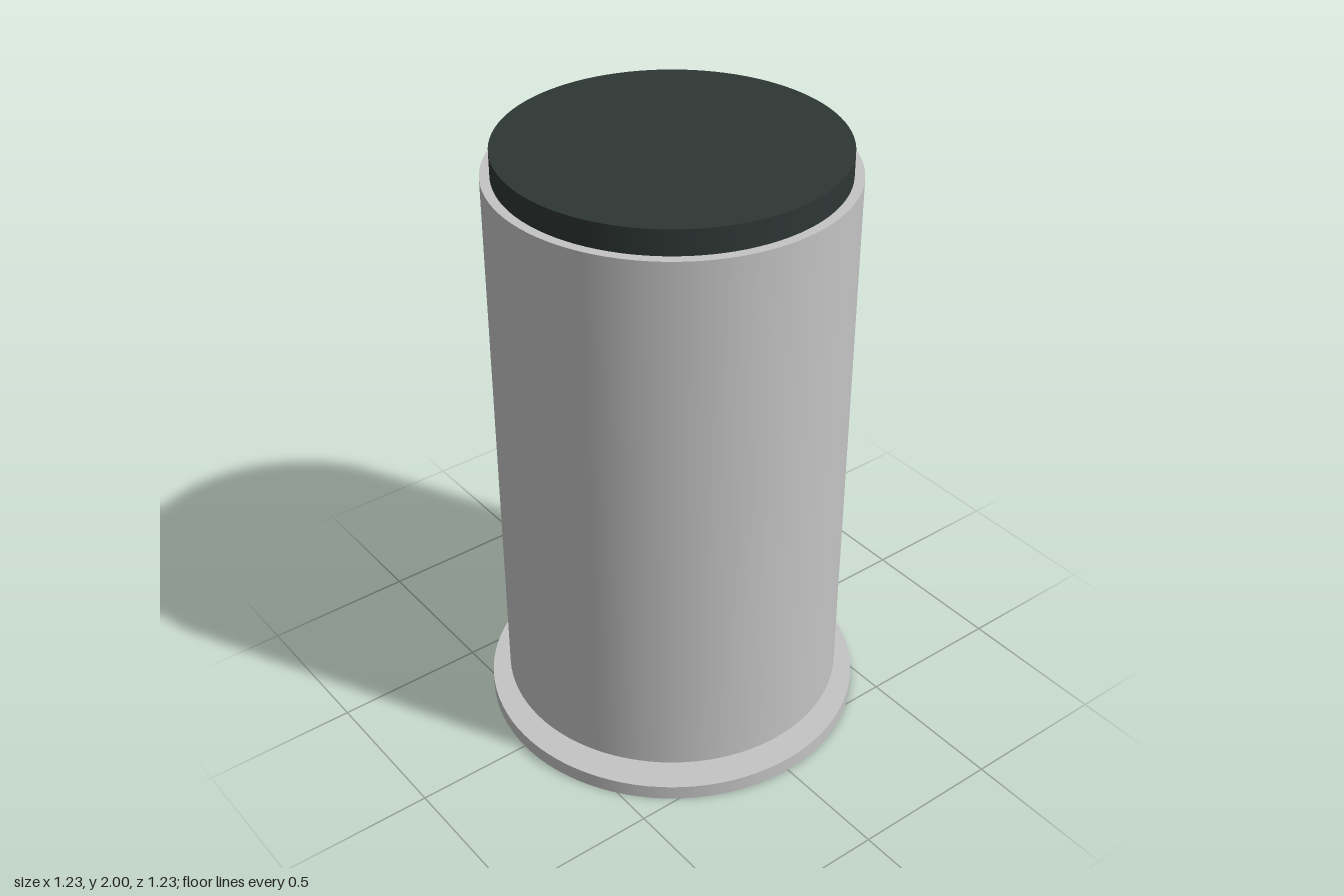
import * as THREE from 'three';

export function createModel() {
  const model = new THREE.Group();
  model.name = 'canister';

  const silver = new THREE.MeshStandardMaterial({ color: 0xc4c4c4 });
  silver.name = 'silver grey';
  const charcoal = new THREE.MeshStandardMaterial({ color: 0x2e3735 });
  charcoal.name = 'dark charcoal';

  // Upright smooth disc or cylinder between two heights
  function addCylinder(name, radius, bottom, top, material) {
    const geometry = new THREE.CylinderGeometry(radius, radius, top - bottom, 96);
    const mesh = new THREE.Mesh(geometry, material);
    mesh.name = name;
    mesh.position.y = (bottom + top) / 2;
    model.add(mesh);
  }

  addCylinder('basePlate', 0.615, 0, 0.05, silver);
  // Recessed collar showing in the gap above the base
  addCylinder('neck', 0.43, 0.05, 0.1, charcoal);
  addCylinder('body', 0.555, 0.1, 1.92, silver);
  addCylinder('lid', 0.525, 1.92, 2, charcoal);

  return model;
}
